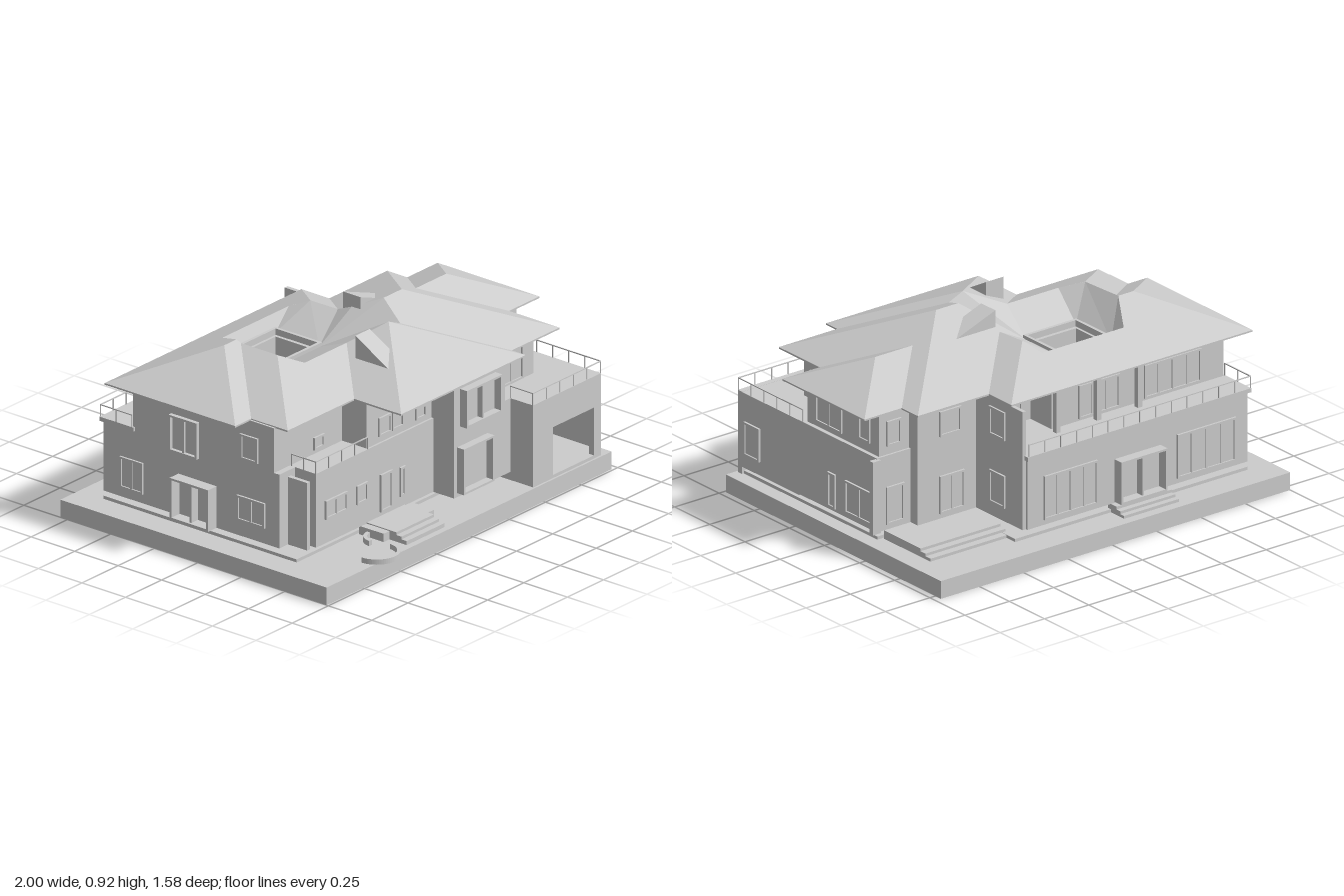
import * as THREE from 'three';

const plaster = new THREE.MeshStandardMaterial({ color: 0xcccccc });
plaster.name = 'light grey';

const EAVE = 0.70, SLOPE = 0.43;
const WELL = [[-0.37, -0.31], [-0.09, -0.31], [-0.09, -0.06], [-0.37, -0.06]];

function add(parent, name, geo) {
  const mesh = new THREE.Mesh(geo, plaster);
  mesh.name = name;
  parent.add(mesh);
  return mesh;
}

// box from its limits
function box(parent, name, x0, x1, y0, y1, z0, z1) {
  const m = add(parent, name, new THREE.BoxGeometry(x1 - x0, y1 - y0, z1 - z0));
  m.position.set((x0 + x1) / 2, (y0 + y1) / 2, (z0 + z1) / 2);
  return m;
}

// upright prism from a plan outline of [x, z] points
function storey(parent, name, outline, y0, y1, hole) {
  const v = ([x, z]) => new THREE.Vector2(x, -z);
  const shape = new THREE.Shape(outline.map(v));
  if (hole) shape.holes.push(new THREE.Path(hole.map(v)));
  const geo = new THREE.ExtrudeGeometry(shape, { depth: y1 - y0, bevelEnabled: false });
  geo.rotateX(-Math.PI / 2);
  add(parent, name, geo).position.y = y0;
}

// rectangular plate with a rectangular opening
function framePlate(a, b, c, d, a2, b2, c2, d2, depth) {
  const rect = (P, l, r, lo, hi) => new P([[l, lo], [r, lo], [r, hi], [l, hi]].map(p => new THREE.Vector2(...p)));
  const shape = rect(THREE.Shape, a, b, c, d);
  shape.holes.push(rect(THREE.Path, a2, b2, c2, d2));
  return new THREE.ExtrudeGeometry(shape, { depth, bevelEnabled: false });
}

// framed window on a wall; a and b run along x (front, back) or z (sides)
const FACES = { front: [0, 1], right: [Math.PI / 2, -1], back: [Math.PI, -1], left: [-Math.PI / 2, 1] };
function opening(parent, face, wall, a, b, y0, y1, panes = 1, depth = 0.01) {
  const [turn, sign] = FACES[face];
  const u0 = Math.min(a * sign, b * sign), u1 = Math.max(a * sign, b * sign), t = 0.01;
  const g = new THREE.Group();
  g.name = face + 'Window';
  add(g, 'windowFrame', framePlate(u0, u1, y0, y1, u0 + t, u1 - t, y0 + t, y1 - t, depth));
  box(g, 'windowPane', u0 + t, u1 - t, y0 + t, y1 - t, 0, 0.003);
  for (let i = 1; i < panes; i++) {
    const u = u0 + (u1 - u0) * i / panes;
    box(g, 'mullion', u - 0.005, u + 0.005, y0 + t, y1 - t, 0, depth * 0.8);
  }
  g.rotation.y = turn;
  const out = face === 'front' || face === 'right' ? wall : -wall;
  g.position.set(Math.sin(turn) * out, 0, Math.cos(turn) * out);
  parent.add(g);
}

// upward facing polygon from 3D points
function slab(parent, name, pts) {
  const tris = THREE.ShapeUtils.triangulateShape(pts.map(p => new THREE.Vector2(p[0], p[2])), []);
  const pos = [];
  for (const [i, j, k] of tris) {
    const [a, b, c] = [pts[i], pts[j], pts[k]];
    const up = (b[2] - a[2]) * (c[0] - a[0]) - (b[0] - a[0]) * (c[2] - a[2]);
    pos.push(...a, ...(up > 0 ? b : c), ...(up > 0 ? c : b));
  }
  const geo = new THREE.BufferGeometry();
  geo.setAttribute('position', new THREE.Float32BufferAttribute(pos, 3));
  geo.computeVertexNormals();
  add(parent, name, geo);
}

// terrace railing along [x, z] points
function railing(parent, path) {
  const g = new THREE.Group();
  g.name = 'railing';
  const r = 0.002;
  for (let i = 0; i + 1 < path.length; i++) {
    const [x0, z0] = path[i], [x1, z1] = path[i + 1];
    box(g, 'topRail', Math.min(x0, x1) - r, Math.max(x0, x1) + r, 0.535, 0.54, Math.min(z0, z1) - r, Math.max(z0, z1) + r);
    const n = Math.max(1, Math.round(Math.hypot(x1 - x0, z1 - z0) / 0.09));
    for (let k = 0; k <= n; k++) {
      const x = x0 + (x1 - x0) * k / n, z = z0 + (z1 - z0) * k / n;
      box(g, 'railPost', x - r, x + r, 0.48, 0.535, z - r, z + r);
    }
  }
  parent.add(g);
}

function buildRoof(parent) {
  const roof = new THREE.Group();
  roof.name = 'roof';
  // each slope: axis and position of its eave, then its plan corners
  const slopes = [
    ['x', -0.97, [[-0.97, -0.56], [-0.97, 0.19], [-0.595, -0.185]]],
    ['z', -0.56, [[-0.97, -0.56], [-0.595, -0.185], [-0.51, -0.185], [-0.41, -0.35], [0.05, -0.35], [0.09, -0.26], [0.39, -0.56]]],
    ['z', 0.19, [[-0.97, 0.19], [-0.86, 0.19], [-0.51, -0.16], [-0.51, -0.185], [-0.595, -0.185]]],
    ['x', -0.86, [[-0.86, 0.19], [-0.86, 0.40], [-0.51, 0.05], [-0.51, -0.16]]],
    ['z', 0.40, [[-0.86, 0.40], [-0.40, 0.40], [-0.14, 0.14], [-0.43, 0.14], [-0.51, 0.05]]],
    ['x', -0.40, [[-0.40, 0.40], [-0.40, 0.67], [0.03, 0.24], [-0.14, 0.14]]],
    ['z', 0.67, [[-0.40, 0.67], [0.46, 0.67], [0.03, 0.24]]],
    ['x', 0.46, [[0.46, 0.67], [0.46, 0.59], [0.11, 0.24], [0.03, 0.24]]],
    ['z', 0.59, [[0.46, 0.59], [0.79, 0.59], [0.295, 0.095], [0.17, 0.095], [0.11, 0.24]]],
    ['x', 0.79, [[0.79, 0.59], [0.79, 0.30], [0.4975, 0.0075], [0.79, -0.285], [0.79, -0.40], [0.295, 0.095]]],
    ['z', -0.40, [[0.79, -0.40], [0.39, -0.40], [0.10, -0.11], [0.10, -0.03], [0.17, 0.095], [0.295, 0.095]]],
    ['x', 0.39, [[0.39, -0.56], [0.39, -0.40], [0.10, -0.11], [0.09, -0.26]]],
    ['z', 0.30, [[0.79, 0.30], [1, 0.30], [0.7075, 0.0075], [0.4975, 0.0075]]],
    ['x', 1, [[1, 0.30], [1, -0.285], [0.7075, 0.0075]]],
    ['z', -0.285, [[1, -0.285], [0.79, -0.285], [0.4975, 0.0075], [0.7075, 0.0075]]],
  ];
  for (const [axis, eave, pts] of slopes)
    slab(roof, 'roofSlope', pts.map(([x, z]) => [x, EAVE + SLOPE * Math.abs((axis === 'x' ? x : z) - eave), z]));

  // inner slopes falling to the light well
  const [nw, ne, se, sw] = WELL.map(([x, z]) => [x, 0.72, z]);
  const a = [-0.51, 0.861, -0.185], b = [-0.51, 0.85, 0.05], c = [-0.43, 0.812, 0.14], d = [-0.14, 0.812, 0.14],
    e = [0.03, 0.885, 0.24], f = [0.11, 0.85, 0.24], g = [0.17, 0.913, 0.095], h = [0.10, 0.859, -0.03],
    i = [0.10, 0.825, -0.11], j = [0.09, 0.829, -0.26], k = [0.05, 0.79, -0.35], l = [-0.41, 0.79, -0.35];
  const inner = [[l, a, nw], [a, b, sw, nw], [b, c, sw], [c, d, se, sw], [d, e, se], [e, f, se], [f, g, se],
    [g, h, se], [h, i, se], [i, j, ne, se], [j, k, ne], [k, l, nw, ne]];
  for (const face of inner) slab(roof, 'innerRoofSlope', face);
  const rim = add(roof, 'wellRim', framePlate(-0.38, -0.08, 0.05, 0.32, -0.365, -0.095, 0.065, 0.305, 0.03));
  rim.rotation.x = -Math.PI / 2;
  rim.position.y = 0.712;

  // eave board and soffit
  storey(roof, 'soffit', [[-0.97, -0.56], [-0.97, 0.19], [-0.86, 0.19], [-0.86, 0.40], [-0.40, 0.40], [-0.40, 0.67],
    [0.46, 0.67], [0.46, 0.59], [0.79, 0.59], [0.79, 0.30], [1, 0.30], [1, -0.285], [0.79, -0.285],
    [0.79, -0.40], [0.39, -0.40], [0.39, -0.56]], 0.692, EAVE, WELL);

  // wedge dormers
  const wedge = pts => new THREE.ExtrudeGeometry(new THREE.Shape(pts.map(p => new THREE.Vector2(...p))), { depth: 0.1, bevelEnabled: false });
  add(roof, 'sideDormer', wedge([[0.10, 0.80], [0.34, 0.83], [0.10, 0.918]])).position.z = -0.08;
  const front = add(roof, 'frontDormer', wedge([[-0.44, 0.78], [-0.24, 0.78], [-0.24, 0.893]]));
  front.rotation.y = Math.PI / 2;
  front.position.x = -0.2;
  parent.add(roof);
}

export function createModel() {
  const house = new THREE.Group();
  house.name = 'house';
  box(house, 'groundSlab', -1, 0.97, 0, 0.085, -0.79, 0.74);
  box(house, 'plinth', -0.87, 0.44, 0.085, 0.1, -0.65, 0.46);

  // storeys
  storey(house, 'lowerStorey', [[-0.87, -0.65], [-0.87, 0.36], [-0.76, 0.36], [-0.76, 0.48], [0.05, 0.48], [0.05, 0.60],
    [0.44, 0.60], [0.44, 0.30], [0.91, 0.30], [0.91, -0.26], [0.72, -0.26], [0.72, -0.31], [0.37, -0.31], [0.37, -0.65]], 0.125, 0.48);
  storey(house, 'upperStorey', [[-0.87, -0.48], [-0.87, 0.33], [-0.40, 0.33], [-0.40, 0.47], [0.05, 0.47], [0.05, 0.60],
    [0.40, 0.60], [0.40, 0.50], [0.72, 0.50], [0.72, 0.26], [0.89, 0.26], [0.89, -0.25], [0.72, -0.25], [0.72, -0.31],
    [0.39, -0.31], [0.39, -0.33], [0.1, -0.33], [0.1, -0.48]], 0.48, 0.695, WELL);
  box(house, 'backTerrace', -0.88, 0.38, 0.46, 0.48, -0.665, -0.47);
  box(house, 'sideFinWall', 0.37, 0.39, 0.125, 0.692, -0.64, -0.31);
  box(house, 'frontFinWall', -0.81, -0.79, 0.125, 0.45, 0.35, 0.47);
  box(house, 'eastFinWall', 0.90, 0.945, 0.125, 0.475, -0.275, -0.25);

  // garage shell
  const garage = new THREE.Group();
  garage.name = 'garage';
  add(garage, 'garageFront', framePlate(0.44, 0.91, 0.085, 0.48, 0.575, 0.86, 0.10, 0.33, 0.03)).position.z = 0.70;
  box(garage, 'garageRoof', 0.44, 0.91, 0.46, 0.479, 0.29, 0.71);
  box(garage, 'garageWall', 0.44, 0.46, 0.085, 0.47, 0.29, 0.71);
  box(garage, 'garageWall', 0.89, 0.91, 0.12, 0.47, 0.29, 0.71);
  box(garage, 'garageFloor', 0.45, 0.90, 0.085, 0.1, -0.25, 0.71);
  house.add(garage);

  // terraces
  railing(house, [[-0.76, 0.34], [-0.76, 0.478], [-0.40, 0.478]]);
  railing(house, [[0.44, 0.60], [0.44, 0.728], [0.908, 0.728], [0.908, 0.27]]);
  railing(house, [[-0.877, -0.48], [-0.877, -0.662], [0.37, -0.662]]);
  for (const x of [0.1, -0.13, -0.36]) box(house, 'terracePost', x - 0.012, x + 0.012, 0.48, 0.692, -0.53, -0.505);

  // windows: wall position, span, height, panes, depth
  const windows = {
    front: [[0.48, -0.70, -0.55, 0.24, 0.33, 2], [0.48, -0.485, -0.41, 0.24, 0.33], [0.48, -0.32, -0.24, 0.15, 0.33],
      [0.48, -0.185, -0.15, 0.18, 0.32], [0.47, -0.32, -0.235, 0.51, 0.60], [0.47, -0.23, -0.15, 0.51, 0.60],
      [0.47, -0.065, 0.005, 0.505, 0.565], [0.60, 0.09, 0.335, 0.46, 0.64, 2, 0.04], [0.60, 0.07, 0.28, 0.145, 0.365, 1, 0.04],
      [0.33, -0.60, -0.53, 0.50, 0.56], [0.50, 0.48, 0.64, 0.485, 0.65, 2]],
    right: [[0.91, 0.57, 0.68, 0.185, 0.345], [0.91, 0.03, 0.085, 0.14, 0.305], [0.91, -0.235, -0.04, 0.15, 0.305, 2],
      [0.39, -0.52, -0.41, 0.19, 0.345], [0.39, -0.52, -0.41, 0.515, 0.65], [0.72, 0.30, 0.45, 0.505, 0.62, 2],
      [0.89, 0.01, 0.195, 0.505, 0.65, 2], [0.89, -0.19, -0.11, 0.525, 0.65]],
    back: [[-0.65, -0.80, -0.47, 0.15, 0.36, 4], [-0.65, -0.38, -0.12, 0.13, 0.335, 2, 0.05], [-0.65, -0.02, 0.28, 0.15, 0.36, 4],
      [-0.48, -0.74, -0.42, 0.49, 0.65, 4], [-0.48, -0.28, -0.05, 0.49, 0.65, 3], [-0.33, 0.15, 0.32, 0.49, 0.65, 2],
      [-0.31, 0.46, 0.60, 0.15, 0.33, 2], [-0.31, 0.48, 0.60, 0.52, 0.64], [-0.25, 0.77, 0.85, 0.52, 0.64], [-0.26, 0.76, 0.86, 0.15, 0.33]],
    left: [[-0.87, -0.22, 0.0, 0.125, 0.325, 2, 0.06], [-0.87, -0.55, -0.42, 0.17, 0.32, 2], [-0.87, 0.12, 0.28, 0.20, 0.32, 2],
      [-0.87, -0.26, -0.10, 0.43, 0.605, 2, 0.02], [-0.87, 0.14, 0.24, 0.50, 0.62]],
  };
  for (const face in windows) for (const w of windows[face]) opening(house, face, ...w);

  // entrance, back and side steps
  for (let i = 0; i < 3; i++) {
    box(house, 'frontStep', -0.41, -0.15, 0.085, 0.13 - i * 0.013, 0.47, 0.65 + i * 0.03);
    box(house, 'backStep', -0.41, -0.1, 0.085, 0.125 - i * 0.013, -0.69 - i * 0.027, -0.63);
    box(house, 'sideStep', 0.42, 0.87, 0.085, 0.125 - i * 0.013, -0.52 - i * 0.035, -0.26);
  }
  box(house, 'porch', -0.45, -0.1, 0.085, 0.125, 0.47, 0.61);

  // curved garden kerbs
  const kerb = (name, x, z, r, from, to) => {
    const s = new THREE.Shape();
    s.absarc(0, 0, r, from, to, false);
    s.absarc(0, 0, r - 0.018, to, from, true);
    const m = add(house, name, new THREE.ExtrudeGeometry(s, { depth: 0.025, bevelEnabled: false, curveSegments: 16 }));
    m.rotation.x = -Math.PI / 2;
    m.position.set(x, 0.085, z);
  };
  kerb('roundKerb', -0.58, 0.68, 0.107, Math.PI, Math.PI * 2);
  kerb('cornerKerb', -0.45, 0.59, 0.075, Math.PI / 2, Math.PI);

  buildRoof(house);
  return house;
}
